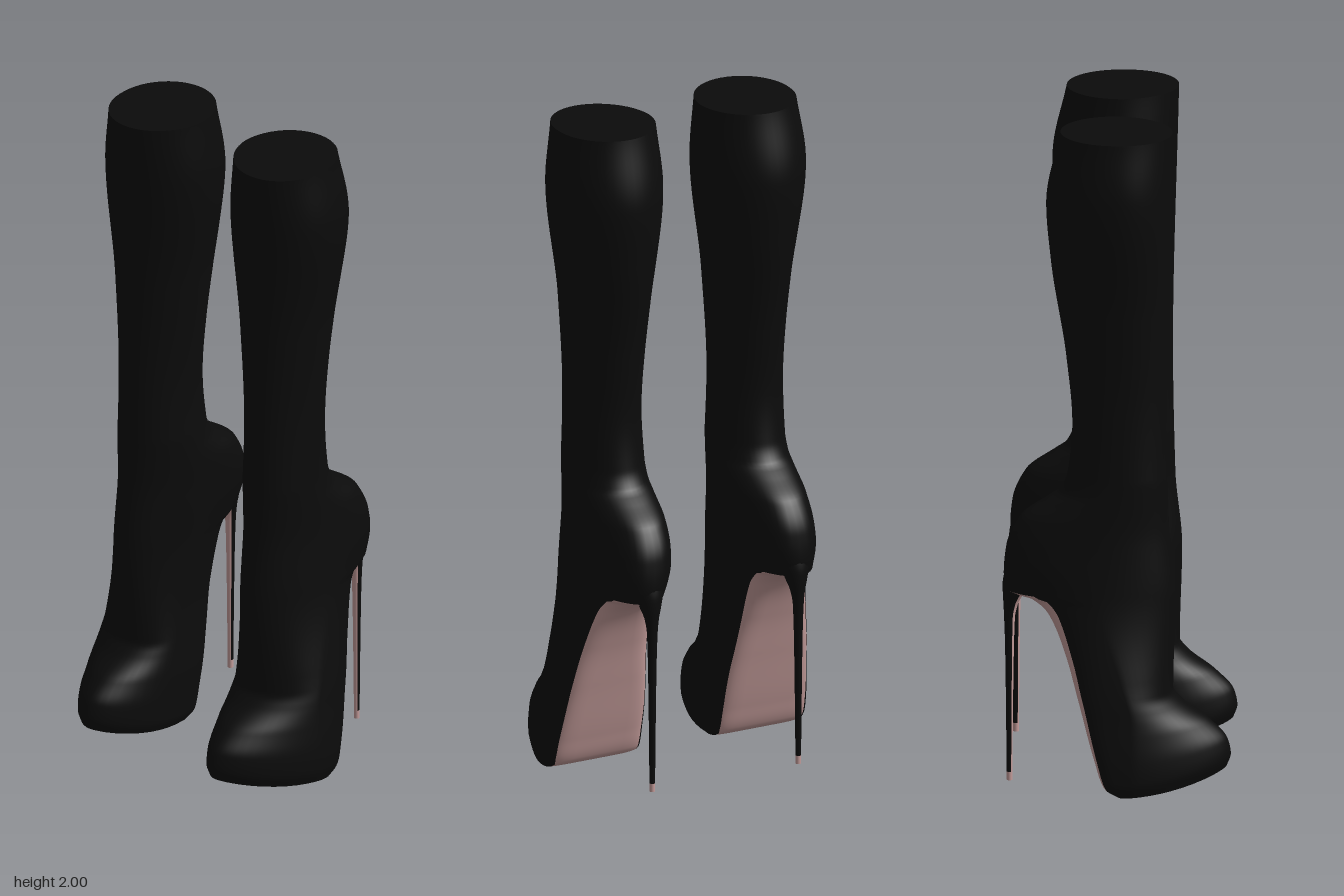
import * as THREE from 'three';

const N = 48;          // points around each cross-section
const TIP_X = 0.245;   // line through toe and heel

// Smooth curve through [y, value] points that never overshoots them
function profile(...p) {
  const slope = (i) => (p[i + 1][1] - p[i][1]) / (p[i + 1][0] - p[i][0]);
  const tangent = (i) => {
    if (i === 0) return slope(0);
    if (i === p.length - 1) return slope(i - 1);
    const a = slope(i - 1), b = slope(i);
    return a * b > 0 ? (2 * a * b) / (a + b) : 0;
  };
  return (y) => {
    if (y <= p[0][0]) return p[0][1];
    const i = p.findIndex((q) => q[0] >= y) - 1;
    if (i < 0) return p[p.length - 1][1];
    const h = p[i + 1][0] - p[i][0], u = (y - p[i][0]) / h, v = 1 - u;
    return v * v * (1 + 2 * u) * p[i][1] + u * u * (1 + 2 * v) * p[i + 1][1]
      + h * u * v * (v * tangent(i) - u * tangent(i + 1));
  };
}

// Boot outlines by height
const boot = {
  inner: profile([0, 0.13], [0.03, 0.12], [0.14, 0.121], [0.41, 0.139], [0.83, 0.12], [1.12, 0.131], [1.45, 0.11], [1.82, 0.07], [2, 0.086]),
  outer: profile([0, 0.424], [0.04, 0.432], [0.25, 0.413], [0.6, 0.369], [0.85, 0.351], [1.15, 0.344], [1.45, 0.361], [1.82, 0.409], [2, 0.386]),
  front: profile([0, 0.326], [0.04, 0.338], [0.1, 0.329], [0.18, 0.276], [0.25, 0.195], [0.29, 0.168], [0.58, 0.175], [0.81, 0.155], [1.2, 0.148], [2, 0.166]),
  back: profile([0, 0.005], [0.02, -0.032], [0.1, -0.061], [0.28, -0.11], [0.41, -0.148], [0.53, -0.203], [0.575, -0.265], [0.59, -0.322], [0.64, -0.332],
    [0.72, -0.325], [0.81, -0.285], [0.87, -0.203], [0.895, -0.168], [0.95, -0.144], [1.1, -0.13], [1.3, -0.147], [1.6, -0.193], [1.78, -0.207], [2, -0.165]),
  widest: profile([0, 0.05], [0.22, 0.05], [0.34, 0.02], [0.6, -0.05], [0.75, -0.05], [0.94, 0]),
  frontPower: profile([0, 1.65], [0.14, 1.7], [0.28, 2]),
  backPower: profile([0, 6], [0.2, 6], [0.41, 4], [0.53, 2.6], [0.585, 1.9], [0.7, 2.5], [0.9, 2]),
};

// Stiletto: thin round stem that flares into the heel cup
const stemZ = profile([0, -0.315], [0.5, -0.315], [0.545, -0.311], [0.58, -0.302], [0.66, -0.28]);
const stemR = profile([0, 0.008], [0.38, 0.0125], [0.5, 0.016], [0.545, 0.022], [0.58, 0.033], [0.62, 0.043], [0.66, 0.046]);
const stem = {
  inner: (y) => TIP_X - stemR(y),
  outer: (y) => TIP_X + stemR(y),
  front: (y) => stemZ(y) + stemR(y),
  back: (y) => stemZ(y) - stemR(y),
  widest: stemZ,
  frontPower: () => 2,
  backPower: () => 2,
};

// Toe spring: the sole rises towards the toe
const lift = (z) => 0.055 * Math.pow(Math.max(z, 0) / 0.335, 2);

// Cross-section at one height: separate superellipses for front and back halves
function ring(shape, y, side) {
  const xi = shape.inner(y), xo = shape.outer(y), zm = shape.widest(y);
  const cx = (xi + xo) / 2, hw = (xo - xi) / 2;
  return Array.from({ length: N }, (_, j) => {
    const t = (j / N) * Math.PI * 2, c = Math.cos(t), s = Math.sin(t);
    const isFront = s >= 0;
    const e = 2 / (isFront ? shape.frontPower(y) : shape.backPower(y));
    const sz = Math.pow(Math.abs(s), e);
    const skew = isFront ? (TIP_X - cx) * sz : 0;
    const x = cx + hw * Math.sign(c) * Math.pow(Math.abs(c), e) + skew;
    const z = zm + ((isFront ? shape.front(y) : shape.back(y)) - zm) * sz;
    return new THREE.Vector3(side * x, y + lift(z) * Math.max(0, 1 - y / 0.28), z);
  });
}

function loft(shape, y0, y1, steps, side) {
  return Array.from({ length: steps + 1 }, (_, i) => ring(shape, y0 + ((y1 - y0) * i) / steps, side));
}

// Skin over rings ordered upwards; isPink(y, degrees) picks the second material
function skin(name, rings, side, materials, isPink = () => false) {
  const lists = [[], []];
  for (let i = 0; i < rings.length - 1; i++) {
    for (let j = 0; j < N; j++) {
      const a = i * N + j, b = i * N + ((j + 1) % N), c = a + N, d = b + N;
      const list = lists[isPink(rings[i][j].y, ((j + 0.5) / N) * 360) ? 1 : 0];
      if (side > 0) list.push(a, c, b, b, c, d);
      else list.push(a, b, c, b, d, c);
    }
  }
  const geo = new THREE.BufferGeometry().setFromPoints(rings.flat());
  geo.setIndex(lists.flat());
  geo.addGroup(0, lists[0].length, 0);
  geo.addGroup(lists[0].length, lists[1].length, 1);
  geo.computeVertexNormals();
  const mesh = new THREE.Mesh(geo, materials);
  mesh.name = name;
  return mesh;
}

// Concentric rings from the centre out to an edge ring
function capRings(edge, height) {
  const c = edge.reduce((v, p) => v.add(p), new THREE.Vector3()).divideScalar(N);
  return [0.001, 0.25, 0.5, 0.75, 1].map((f) => edge.map((p) => {
    const q = c.clone().lerp(p, f);
    q.y = height(q.z);
    return q;
  }));
}

export function createModel() {
  const leather = new THREE.MeshStandardMaterial({ color: 0x0b0b0b });
  leather.name = 'black leather';
  const pink = new THREE.MeshStandardMaterial({ color: 0xc49c9a });
  pink.name = 'dusty pink sole';
  const both = [leather, pink];

  const model = new THREE.Group();
  model.name = 'boots';
  for (const side of [1, -1]) {
    const group = new THREE.Group();
    group.name = side > 0 ? 'leftBoot' : 'rightBoot';

    // Shaft and foot, with the sole running up the arch
    const body = loft(boot, 0, 2, 250, side);
    group.add(skin('shaftAndFoot', body, side, both, (y, a) => y < 0.586 && a > 225 && a < 315));

    // Underside of the foot and closed top
    group.add(skin('sole', capRings(body[0], lift), side, [pink]));
    group.add(skin('topCap', capRings(body[body.length - 1], () => 2).reverse(), side, [leather]));

    // Stiletto with a pink front face
    group.add(skin('heel', loft(stem, 0.025, 0.66, 50, side), side, both, (y, a) => a > 40 && a < 140));

    // Heel tip
    const tip = new THREE.Mesh(new THREE.CylinderGeometry(0.0085, 0.0085, 0.026, 16), pink);
    tip.name = 'heelTip';
    tip.position.set(side * TIP_X, 0.013, -0.315);
    group.add(tip);
    model.add(group);
  }
  return model;
}
